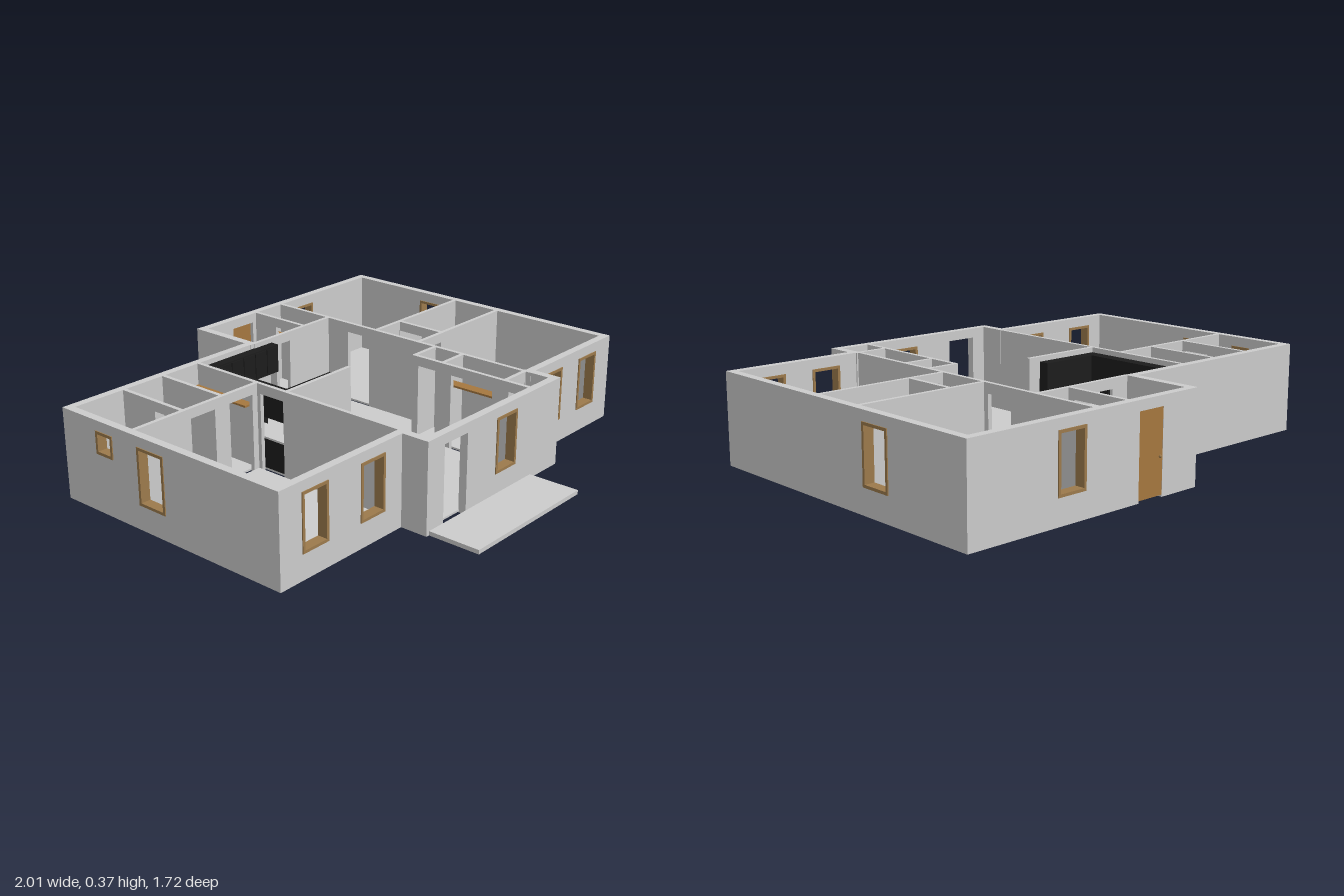
import * as THREE from 'three';

const mat = (color) => new THREE.MeshStandardMaterial({ color });
const GREY = mat(0xcccccc), WOOD = mat(0xa5773f), FRAME = mat(0x9c7a4c), BLACK = mat(0x1c1c1c);
const H = 0.365, OUT = 0.033, IN = 0.017, HEAD = 0.325, SILL = 0.1;

export function createModel() {
  const house = new THREE.Group();
  house.name = 'house';

  const group = (name, parent = house) => {
    const g = new THREE.Group();
    g.name = name;
    parent.add(g);
    return g;
  };
  const add = (name, geo, material, parent = house) => {
    const m = new THREE.Mesh(geo, material);
    m.name = name;
    parent.add(m);
    return m;
  };
  // box from its extents
  const box = (name, x0, x1, y0, y1, z0, z1, material = GREY, parent = house) => {
    const m = add(name, new THREE.BoxGeometry(x1 - x0, y1 - y0, z1 - z0), material, parent);
    m.position.set((x0 + x1) / 2, (y0 + y1) / 2, (z0 + z1) / 2);
    return m;
  };
  const rect = (Type, x0, y0, x1, y1) => new Type().moveTo(x0, y0).lineTo(x1, y0).lineTo(x1, y1).lineTo(x0, y1).closePath();

  // Straight wall along 'x' or 'z'; c is its centre line, openings are [centre, width, bottom, top, framed]
  const wall = (name, axis, c, a, b, t, openings = []) => {
    const g = group(name);
    const piece = (s, e, y0, y1) => {
      if (e - s < 1e-4 || y1 - y0 < 1e-4) return;
      if (axis === 'x') box('wallPiece', s, e, y0, y1, c - t / 2, c + t / 2, GREY, g);
      else box('wallPiece', c - t / 2, c + t / 2, y0, y1, s, e, GREY, g);
    };
    let from = a;
    for (const [m, w, y0, y1, framed] of [...openings].sort((p, q) => p[0] - q[0])) {
      piece(from, m - w / 2, 0, H);
      piece(m - w / 2, m + w / 2, 0, y0);
      piece(m - w / 2, m + w / 2, y1, H);
      from = m + w / 2;
      if (framed) {
        const s = rect(THREE.Shape, -w / 2, y0, w / 2, y1);
        s.holes.push(rect(THREE.Path, -w / 2 + 0.011, y0 + 0.011, w / 2 - 0.011, y1 - 0.011));
        const d = t + 0.008;
        const f = add('windowFrame', new THREE.ExtrudeGeometry(s, { depth: d, bevelEnabled: false }).translate(0, 0, -d / 2), FRAME, g);
        if (axis === 'x') f.position.set(m, 0, c);
        else { f.position.set(c, 0, m); f.rotation.y = Math.PI / 2; }
      }
    }
    piece(from, b, 0, H);
  };
  const win = (m, w = 0.128, y0 = SILL) => [m, w, y0, HEAD, true];
  const door = (m, w = 0.12) => [m, w, 0, HEAD, false];
  const o = OUT / 2;

  // Outer walls
  wall('leftWingFrontWall', 'x', 0.52 - o, -1, -0.345, OUT, [win(-0.83), win(-0.537)]);
  wall('entranceFrontWall', 'x', 0.635 - o, -0.38, 0.445, OUT, [door(-0.217, 0.135), win(0.093)]);
  wall('rightWingFrontWall', 'x', 0.52 - o, 0.41, 1, OUT, [win(0.575), win(0.827)]);
  wall('rightSideWall', 'z', 1 - o, -0.855, 0.52, OUT, [win(-0.397, 0.135)]);
  wall('rightWingBackWall', 'x', -0.855 + o, -0.07, 1, OUT, [door(0.17), win(0.552)]);
  wall('backStepWall', 'z', -0.07 + o, -0.855, -0.535, OUT);
  wall('leftWingBackWall', 'x', -0.57 + o, -1, -0.04, OUT);
  wall('leftSideWall', 'z', -1 + o, -0.57, 0.52, OUT, [win(-0.34, 0.09, 0.235), win(-0.095, 0.135)]);
  wall('entranceLeftReturn', 'z', -0.38 + o, 0.49, 0.635, OUT);
  wall('entranceRightReturn', 'z', 0.445 - o, 0.49, 0.635, OUT);

  // Inner walls: axis, centre line, start, end, openings
  [
    ['z', -0.355, -0.55, 0.52, [door(-0.13)]],
    ['x', -0.215, -0.98, -0.355, [door(-0.645), door(-0.45)]],
    ['z', -0.735, -0.55, -0.215, [door(-0.3)]],
    ['z', -0.54, -0.55, -0.215, []],
    ['x', -0.062, -0.355, 0.005, []],
    ['x', -0.54, -0.05, 0.415, [door(0.1)]],
    ['z', 0.258, -0.84, -0.54, [door(-0.64)]],
    ['z', 0.415, -0.84, 0.5, [door(-0.36), door(0.01, 0.075)]],
    ['x', -0.27, 0.415, 0.98, []],
    ['x', -0.04, 0.415, 0.98, [door(0.5)]],
    ['z', 0.575, -0.27, -0.04, [door(-0.2)]],
    ['z', 0.28, 0.05, 0.62, [door(0.12, 0.09), door(0.34, 0.2), door(0.555, 0.08)]],
    ['x', 0.05, 0.275, 0.415, []],
    ['x', 0.19, 0.275, 0.415, []],
    ['x', 0.49, 0.275, 0.43, []],
  ].forEach(([axis, c, a, b, openings]) => wall('innerWall', axis, c, a, b, IN, openings));

  // Floor panels and porch
  [
    [-0.97, -0.365, -0.205, 0.49], [-0.97, -0.745, -0.54, -0.225], [-0.725, -0.55, -0.54, -0.225],
    [-0.53, -0.365, -0.54, -0.225], [-0.345, 0.405, -0.53, 0.04], [-0.345, 0.27, 0.04, 0.605],
    [0.29, 0.405, 0.06, 0.18], [0.29, 0.405, 0.2, 0.48], [0.29, 0.41, 0.5, 0.605],
    [-0.04, 0.248, -0.825, -0.55], [0.268, 0.405, -0.825, -0.55], [0.425, 0.97, -0.825, -0.28],
    [0.425, 0.565, -0.26, -0.05], [0.585, 0.97, -0.26, -0.05], [0.425, 0.97, -0.03, 0.49],
  ].forEach(([x0, x1, z0, z1]) => box('floor', x0, x1, 0.004, 0.012, z0, z1));
  box('porch', -0.365, 0.265, 0, 0.017, 0.635, 0.852);

  // Back door
  box('backDoor', 0.11, 0.23, 0.008, HEAD, -0.854, -0.838, WOOD);
  const knob = add('doorKnob', new THREE.SphereGeometry(0.006, 12, 8), FRAME);
  knob.position.set(0.125, 0.15, -0.858);

  // Closet shelves
  [
    [-0.53, -0.365, -0.535, -0.492], [-0.407, -0.365, -0.492, -0.23], [0.268, 0.317, -0.82, -0.55],
    [0.289, 0.335, 0.2, 0.482], [0.355, 0.41, 0.5, 0.605],
  ].forEach(([x0, x1, z0, z1]) => box('closetShelf', x0, x1, 0.27, 0.278, z0, z1, WOOD));

  // Kitchen: base units with worktops, hanging cabinets
  const kitchen = group('kitchen');
  [
    [-0.345, -0.25, -0.535, -0.07], [-0.25, -0.07, -0.535, -0.445], [-0.25, -0.04, -0.165, -0.07],
  ].forEach(([x0, x1, z0, z1]) => {
    box('baseCabinet', x0, x1, 0.012, 0.135, z0, z1, BLACK, kitchen);
    box('worktop', x0, x1 + 0.004, 0.135, 0.143, z0, z1, GREY, kitchen);
  });
  [
    [-0.345, -0.295, -0.535, -0.07], [-0.295, 0.05, -0.535, -0.495], [-0.295, -0.05, -0.115, -0.07],
  ].forEach(([x0, x1, z0, z1]) => box('hangingCabinet', x0, x1, 0.225, 0.345, z0, z1, BLACK, kitchen));
  for (let i = 0; i < 5; i++) box('cabinetDoor', -0.285 + i * 0.067, -0.225 + i * 0.067, 0.232, 0.338, -0.497, -0.491, BLACK, kitchen);
  box('cooker', -0.2, -0.11, 0.012, 0.148, -0.53, -0.437, GREY, kitchen);

  // Open basin: rounded rim wall with a floor, lying in the xz plane
  const rounded = (Type, w, d, r) => {
    const x = w / 2, y = d / 2;
    return new Type().moveTo(-x + r, -y).lineTo(x - r, -y).quadraticCurveTo(x, -y, x, -y + r)
      .lineTo(x, y - r).quadraticCurveTo(x, y, x - r, y).lineTo(-x + r, y).quadraticCurveTo(-x, y, -x, y - r)
      .lineTo(-x, -y + r).quadraticCurveTo(-x, -y, -x + r, -y);
  };
  const basin = (name, x, z, w, d, y0, y1, rim, parent = house) => {
    const g = group(name, parent);
    const s = rounded(THREE.Shape, w, d, 0.006);
    s.holes.push(rounded(THREE.Path, w - 2 * rim, d - 2 * rim, Math.min(w, d) * 0.25));
    add('rim', new THREE.ExtrudeGeometry(s, { depth: y1 - y0, bevelEnabled: false }).rotateX(-Math.PI / 2), GREY, g);
    box('basinFloor', -w / 2 + rim / 2, w / 2 - rim / 2, 0.001, (y1 - y0) * 0.25, -d / 2 + rim / 2, d / 2 - rim / 2, GREY, g);
    g.position.set(x, y0, z);
  };
  basin('kitchenSink', -0.275, -0.355, 0.055, 0.1, 0.136, 0.147, 0.006, kitchen);

  // Bathtubs with dark undersides
  basin('leftBathtub', -0.855, -0.482, 0.215, 0.095, 0.004, 0.09, 0.011);
  basin('rightBathtub', 0.908, -0.155, 0.097, 0.205, 0.004, 0.09, 0.011);
  box('tubUnderside', -0.96, -0.75, 0.001, 0.005, -0.528, -0.436, BLACK);
  box('tubUnderside', 0.862, 0.955, 0.001, 0.005, -0.256, -0.054, BLACK);

  // Washstands
  box('leftWashstand', -0.725, -0.55, 0.012, 0.125, -0.535, -0.455);
  basin('leftWashbasin', -0.637, -0.493, 0.07, 0.055, 0.12, 0.133, 0.006);
  box('rightWashstand', 0.588, 0.695, 0.001, 0.125, -0.125, -0.05, BLACK);
  basin('rightWashbasin', 0.642, -0.088, 0.075, 0.055, 0.12, 0.133, 0.006);

  // Toilets: turned bowl stretched forwards, with seat and cistern
  const toilet = (name, x, z, turn) => {
    const g = group(name);
    const profile = [[0, 0], [0.02, 0], [0.016, 0.025], [0.028, 0.055], [0.03, 0.066], [0.02, 0.066], [0.012, 0.045], [0, 0.04]];
    const bowl = add('bowl', new THREE.LatheGeometry(profile.map(([r, y]) => new THREE.Vector2(r, y)), 24), GREY, g);
    bowl.scale.z = 1.25;
    const seat = add('seat', new THREE.TorusGeometry(0.025, 0.005, 8, 24).rotateX(Math.PI / 2), GREY, g);
    seat.position.y = 0.068;
    seat.scale.z = 1.25;
    box('cistern', -0.03, 0.03, 0.05, 0.125, -0.066, -0.036, GREY, g);
    g.position.set(x, 0.012, z);
    g.rotation.y = turn;
  };
  toilet('leftToilet', -0.9, -0.335, Math.PI / 2);
  toilet('rightToilet', 0.782, -0.117, Math.PI);

  return house;
}
